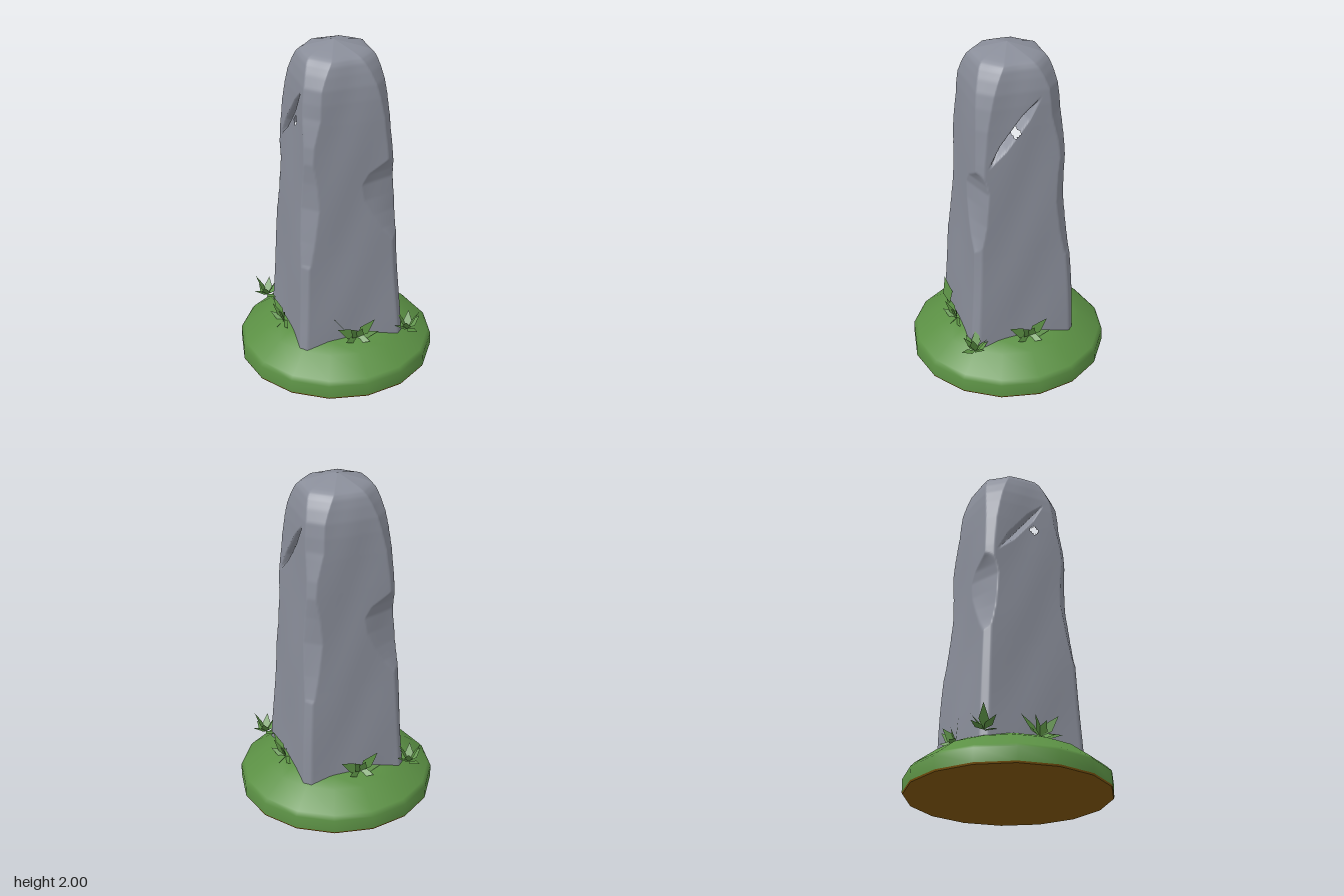
import * as THREE from 'three';

const material = (name, color, side = THREE.FrontSide) => {
  const m = new THREE.MeshStandardMaterial({ color, side });
  m.name = name;
  return m;
};

// linear lookup in rows of [y, value, value...]
function lookup(rows, y, col) {
  if (y <= rows[0][0]) return rows[0][col];
  for (let i = 1; i < rows.length; i++) {
    const a = rows[i - 1], b = rows[i];
    if (y <= b[0]) return a[col] + (b[col] - a[col]) * (y - a[0]) / (b[0] - a[0]);
  }
  return rows[rows.length - 1][col];
}

// stone: [height, half width, corner bevel]
const BODY = [[0.15, 0.322, 0.035], [0.3, 0.315, 0.035], [0.8, 0.289, 0.035], [1.4, 0.262, 0.04],
  [1.6, 0.252, 0.05], [1.72, 0.244, 0.066], [1.8, 0.235, 0.078], [1.87, 0.219, 0.09], [1.92, 0.203, 0.1], [1.945, 0.185, 0.1]];
// chips on the corners: [height, length on first face, length on second face]
const BIG_CHIP = [[0.82, 0, 0], [0.86, 0.045, 0.03], [0.93, 0.1, 0.045], [1.02, 0.15, 0.06], [1.12, 0.195, 0.065],
  [1.22, 0.205, 0.07], [1.28, 0.165, 0.055], [1.345, 0.05, 0.03], [1.39, 0, 0]];
const EDGE_CHIP = [[0.68, 0, 0], [0.76, 0.045, 0.04], [0.9, 0.065, 0.06], [1.1, 0.085, 0.075], [1.26, 0.065, 0.06],
  [1.38, 0.04, 0.04], [1.48, 0.045, 0.045], [1.64, 0.08, 0.075], [1.78, 0.078, 0.078]];

function sectionRadius(angle, y) {
  const h = lookup(BODY, y, 1), c = lookup(BODY, y, 2);
  const sx = Math.sin(angle), cz = Math.cos(angle);
  const u = Math.abs(sx), v = Math.abs(cz);
  let r = h / Math.max(u, v);
  const cut = (a, b) => {
    if (a > 0 && b > 0) r = Math.min(r, (b * (h - a) + a * h) / (b * u + a * v));
  };
  cut(c, c);
  const chip = sx * cz > 0 ? BIG_CHIP : EDGE_CHIP;
  cut(lookup(chip, y, 1), lookup(chip, y, 2));
  return r + 0.003 * Math.sin(2 * angle + 5 * y) + 0.0025 * Math.sin(5 * angle - 8 * y);
}

// slanting slit on both side faces
function slitDepth(x, y, z) {
  const az = z * Math.sign(x);
  const ax = 0.2, ay = 1.38, dx = -0.31, dy = 0.38, len = Math.hypot(dx, dy);
  const t = ((az - ax) * dx + (y - ay) * dy) / (len * len);
  if (t <= 0 || t >= 1 || Math.abs(x) < 0.16) return 0;
  const d = Math.abs((az - ax) * dy - (y - ay) * dx) / len;
  const w = 0.026 * Math.min(1, 3.5 * t, 3.5 * (1 - t));
  return d < w ? 0.065 * (1 - d / w) * w / 0.026 : 0;
}

function stoneGeometry() {
  const cols = 288, rows = 180, caps = 8, top = 1.945;
  const pos = [], idx = [];
  for (let j = 0; j <= rows + caps; j++) {
    const onCap = j > rows;
    const k = onCap ? 1 - (j - rows) / caps : 1;
    const y = onCap ? top : 0.15 + (top - 0.15) * j / rows;
    for (let i = 0; i < cols; i++) {
      const a = i / cols * Math.PI * 2;
      const r = sectionRadius(a, y) * k;
      let x = Math.sin(a) * r - 0.01 * (1 - k);
      const z = Math.cos(a) * r;
      if (!onCap) x -= Math.sign(x) * slitDepth(x, y, z);
      pos.push(x, onCap ? top + 0.055 * Math.pow(1 - k, 0.8) : y, z);
    }
  }
  for (let j = 0; j < rows + caps; j++) {
    for (let i = 0; i < cols; i++) {
      const a = j * cols + i, b = j * cols + (i + 1) % cols;
      // small opening where the two slits meet
      const x = pos[a * 3], y = pos[a * 3 + 1], z = pos[a * 3 + 2];
      if (Math.abs(x) > 0.1 && Math.abs(y - 1.56) + Math.abs(z - 0.04) < 0.03) continue;
      idx.push(a, b, b + cols, a, b + cols, a + cols);
    }
  }
  const g = new THREE.BufferGeometry();
  g.setAttribute('position', new THREE.Float32BufferAttribute(pos, 3));
  g.setIndex(idx);
  g.computeVertexNormals();
  return g;
}

// flat kite-shaped blade from base to tip, its front turned towards out
function bladeGeometry(base, tip, width, out) {
  const a = new THREE.Vector3(...base), b = new THREE.Vector3(...tip);
  const side = b.clone().sub(a).cross(new THREE.Vector3(...out)).setLength(width / 2);
  const mid = a.clone().lerp(b, 0.4);
  const g = new THREE.BufferGeometry().setFromPoints([a, mid.clone().add(side), b, a, b, mid.clone().sub(side)]);
  g.computeVertexNormals();
  return g;
}

export function createModel() {
  const model = new THREE.Group();
  const stone = material('stone grey', 0x8a8e9a);
  const green = material('grass green', 0x5b9044, THREE.DoubleSide);
  const soil = material('soil brown', 0x80570f);
  const add = (parent, name, geometry, mat) => {
    const mesh = new THREE.Mesh(geometry, mat);
    mesh.name = name;
    parent.add(mesh);
    return mesh;
  };

  // grassy mound on a thin soil disc
  const profile = [[0.587, 0.01], [0.587, 0.088], [0.565, 0.112], [0.44, 0.205], [0.36, 0.242], [0.25, 0.262], [0, 0.275]];
  add(model, 'mound', new THREE.LatheGeometry(profile.map(p => new THREE.Vector2(...p)), 16), green);
  add(model, 'soil', new THREE.CylinderGeometry(0.587, 0.583, 0.01, 16), soil).position.y = 0.005;

  add(model, 'standingStone', stoneGeometry(), stone);

  // tufts leaning on each face of the stone: tip x, y, z and width
  const tips = [[-0.11, 0.345, 0.365, 0.06], [-0.035, 0.345, 0.39, 0.055], [0.04, 0.33, 0.375, 0.055],
    [0.12, 0.37, 0.365, 0.06], [0.15, 0.27, 0.35, 0.045], [-0.07, 0.265, 0.395, 0.045], [0.08, 0.245, 0.4, 0.05]];
  for (let k = 0; k < 4; k++) {
    const tuft = new THREE.Group();
    tuft.name = 'faceTuft' + (k + 1);
    tuft.rotation.y = k * Math.PI / 2;
    for (const [x, y, z, w] of tips) {
      add(tuft, 'blade', bladeGeometry([0.02, 0.245, 0.335], [x, y, z], w, [0, 0.5, 0.85]), green);
    }
    model.add(tuft);
  }
  // tall leaf beside the front tuft, seen from above only
  const leaf = material('leaf green', 0x5b9044);
  add(model, 'tallLeaf', bladeGeometry([-0.05, 0.31, 0.355], [-0.15, 0.44, 0.355], 0.06, [0.78, 0.6, -0.1]), leaf);

  // star-shaped tufts at two opposite corners
  for (const s of [1, -1]) {
    const tuft = new THREE.Group();
    tuft.name = s > 0 ? 'frontCornerTuft' : 'backCornerTuft';
    tuft.position.set(0.345 * s, 0.225, 0.32 * s);
    tuft.rotation.y = s > 0 ? 0 : Math.PI;
    for (let i = 0; i < 8; i++) {
      const a = i * Math.PI / 4 + 0.3, len = i % 2 ? 0.07 : 0.095;
      const rise = [0.03, 0.13, 0.06, 0.09][i % 4];
      add(tuft, 'blade', bladeGeometry([0, 0, 0], [Math.sin(a) * len, rise, Math.cos(a) * len], 0.055, [0, 1, 0]), green);
    }
    model.add(tuft);
  }
  return model;
}
